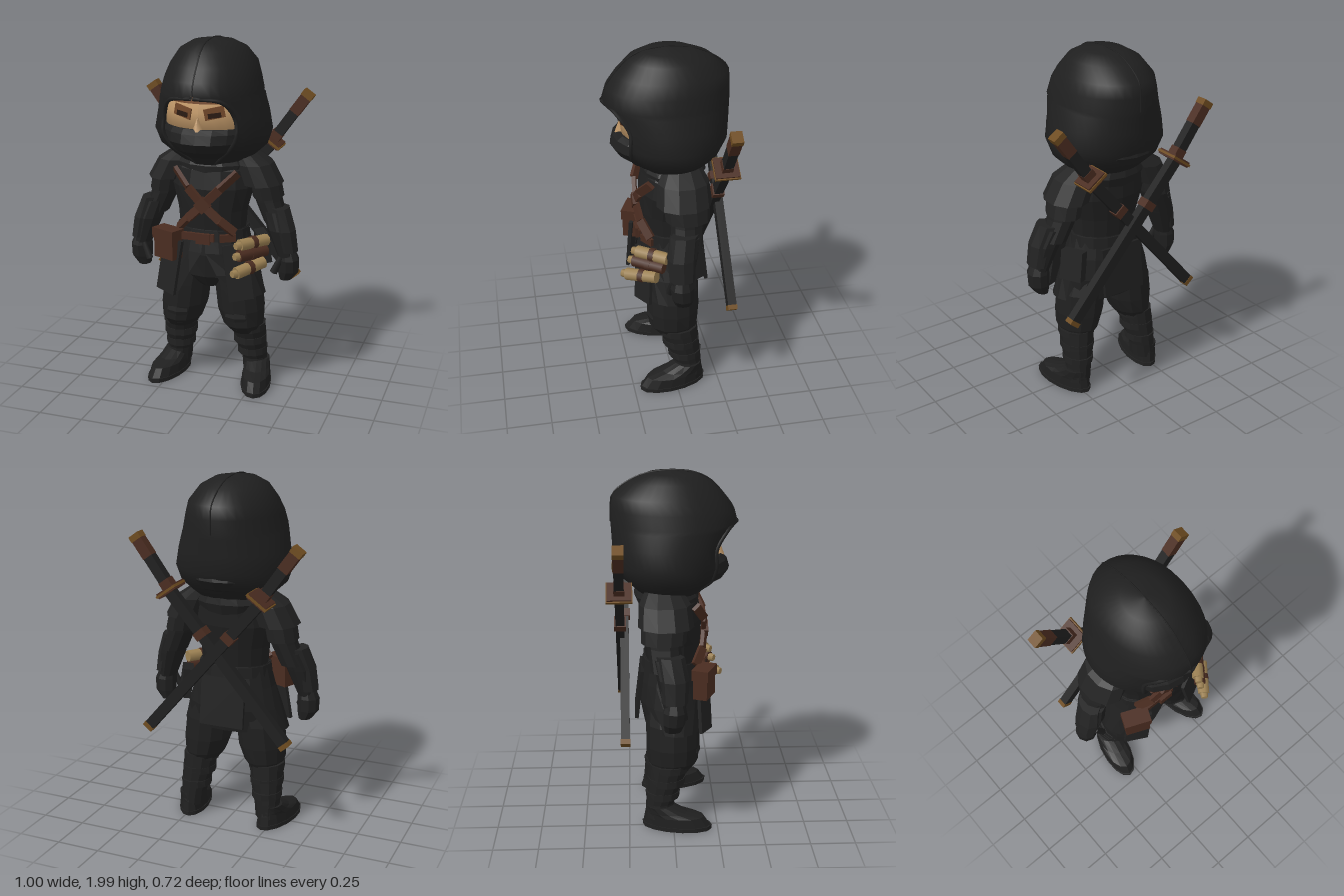
import * as THREE from 'three';

const paint = (name, color, side = THREE.FrontSide) => {
  const m = new THREE.MeshStandardMaterial({ color, side });
  m.name = name;
  return m;
};

export function createModel() {
  const root = new THREE.Group();
  root.name = 'hoodedWarrior';
  const cloth = paint('black cloth', 0x1f1f1f, THREE.DoubleSide);
  const armour = paint('charcoal armour', 0x222222);
  const leather = paint('brown leather', 0x4a2c20);
  const skin = paint('skin', 0xc39a6a);
  const shade = paint('eye socket brown', 0x74492b);
  const bone = paint('pale tan', 0x9c8153);
  const brass = paint('old brass', 0x6e4c20);
  const dark = paint('eye dark', 0x2a1a12);

  const add = (name, geo, mat) => {
    const mesh = new THREE.Mesh(geo, mat);
    mesh.name = name;
    root.add(mesh);
    return mesh;
  };
  const box = (name, size, at, mat, rot = [0, 0, 0]) => {
    const m = add(name, new THREE.BoxGeometry(...size), mat);
    m.position.set(...at);
    m.rotation.set(...rot);
    return m;
  };

  // Rings listed top to bottom: [y, centreX, centreZ, radiusX, radiusZ, frontGapAngle]
  function loft(rows, n = 12, smooth = false) {
    const open = rows.some(r => r[5]);
    const pos = [], idx = [];
    for (const [y, cx, cz, rx, rz, gap = 0] of rows) {
      for (let j = 0; j <= n; j++) {
        const t = gap + (j / n) * (Math.PI * 2 - 2 * gap);
        pos.push(cx + rx * Math.sin(t), y, cz + rz * Math.cos(t));
      }
    }
    const w = n + 1;
    for (let i = 0; i < rows.length - 1; i++) {
      for (let j = 0; j < n; j++) {
        const a = i * w + j, b = a + w;
        idx.push(a, b, b + 1, a, b + 1, a + 1);
      }
    }
    if (!open) {
      const last = (rows.length - 1) * w, c = pos.length / 3;
      for (const r of [rows[0], rows[rows.length - 1]]) pos.push(r[1], r[0], r[2]);
      for (let j = 0; j < n; j++) idx.push(c, j, j + 1, c + 1, last + j + 1, last + j);
    }
    let g = new THREE.BufferGeometry();
    g.setAttribute('position', new THREE.Float32BufferAttribute(pos, 3));
    g.setIndex(idx);
    if (!smooth) g = g.toNonIndexed();
    g.computeVertexNormals();
    // The three caps' centre corners are [y, x, z] rows, so they are already in place
    return g;
  }

  // Box or round bar between two points
  function bar(name, a, b, w, d, mat, round = 0) {
    const p = new THREE.Vector3(...a), q = new THREE.Vector3(...b);
    const len = p.distanceTo(q);
    const g = round ? new THREE.CylinderGeometry(w, d, len, round) : new THREE.BoxGeometry(w, len, d);
    const m = add(name, g, mat);
    m.position.copy(p).add(q).multiplyScalar(0.5);
    m.quaternion.setFromUnitVectors(new THREE.Vector3(0, 1, 0), q.sub(p).normalize());
  }

  // Hood with face opening
  const hoodRows = [
    [1.99, 0, 0, 0.001, 0.001, 0], [1.975, 0, 0, 0.11, 0.13, 0], [1.935, 0, -0.01, 0.18, 0.22, 0],
    [1.86, 0, -0.02, 0.232, 0.3, 0], [1.79, 0, 0, 0.256, 0.33, 0], [1.715, 0, 0.01, 0.275, 0.342, 0.02],
    [1.69, 0, 0.005, 0.282, 0.335, 0.55], [1.6, 0, -0.01, 0.305, 0.315, 0.7],
    [1.5, 0, -0.01, 0.325, 0.31, 0.68], [1.42, 0, -0.015, 0.3, 0.265, 0.55],
    [1.36, 0, -0.02, 0.235, 0.195, 0.4], [1.29, 0, -0.02, 0.13, 0.13, 0.1]
  ];
  add('hood', loft(hoodRows, 36, true), cloth);
  // Rim of the opening and crown seam
  for (const s of [-1, 1]) {
    const rim = hoodRows.slice(5).map(([y, , cz, rx, rz, a]) =>
      new THREE.Vector3(s * rx * Math.sin(a), y, cz + rz * Math.cos(a)));
    add('hoodRim', new THREE.TubeGeometry(new THREE.CatmullRomCurve3(rim), 24, 0.011, 6), cloth);
  }
  const seam = [-1, 1].flatMap(s => {
    const half = hoodRows.slice(0, 6).map(([y, , cz, , rz]) => new THREE.Vector3(0, y, cz + s * rz));
    return s < 0 ? half.reverse() : half;
  });
  add('hoodSeam', new THREE.TubeGeometry(new THREE.CatmullRomCurve3(seam), 30, 0.004, 5), cloth);

  // Face, mask and eyes
  add('face', loft([[1.74, 0, 0, 0.24, 0.24], [1.62, 0, 0, 0.26, 0.255], [1.5, 0, 0, 0.26, 0.26]], 28, true), skin);
  add('faceMask', loft([[1.535, 0, 0, 0.262, 0.27], [1.51, 0, 0, 0.27, 0.3], [1.46, 0, 0, 0.265, 0.315],
    [1.41, 0, 0, 0.23, 0.28], [1.36, 0, 0, 0.18, 0.19], [1.29, 0, 0, 0.12, 0.12]], 20), cloth);
  add('headband', loft([[1.715, 0, 0, 0.255, 0.26], [1.672, 0, 0, 0.262, 0.266]], 24), shade);
  const nose = add('nose', new THREE.ConeGeometry(0.03, 0.08, 4), skin);
  nose.position.set(0, 1.565, 0.258);
  for (const s of [-1, 1]) {
    box('eyeSocket', [0.11, 0.06, 0.008], [s * 0.088, 1.625, 0.243], shade, [0, s * 0.35, s * 0.2]);
    box('eye', [0.07, 0.026, 0.008], [s * 0.09, 1.613, 0.247], dark, [0, s * 0.35, s * 0.12]);
  }

  // Torso, collar and pelvis
  add('torso', loft([[1.36, 0, -0.04, 0.14, 0.14], [1.28, 0, -0.02, 0.22, 0.165], [1.18, 0, -0.01, 0.235, 0.175],
    [1.05, 0, 0, 0.2, 0.16], [0.92, 0, 0, 0.19, 0.145]], 16), cloth);
  add('collar', loft([[1.38, 0, -0.04, 0.17, 0.16], [1.31, 0, -0.03, 0.22, 0.18], [1.25, 0, -0.02, 0.19, 0.165]], 14), armour);
  add('pelvis', loft([[0.95, 0, 0, 0.19, 0.145], [0.8, 0, 0, 0.21, 0.16], [0.67, 0, 0, 0.2, 0.15], [0.6, 0, 0, 0.07, 0.1]], 14), cloth);
  add('tunicSkirt', loft([[0.95, 0, 0, 0.2, 0.155, 0.01], [0.82, 0, 0, 0.235, 0.18, 0.05],
    [0.7, 0, 0.005, 0.275, 0.19, 0.3], [0.57, 0, 0.02, 0.315, 0.18, 0.5]], 18), cloth);
  box('backFlap', [0.26, 0.28, 0.02], [0, 0.75, -0.185], cloth, [0.12, 0, 0]);
  for (const s of [-1, 1])
    box('skirtPanel', [0.14, 0.32, 0.02], [s * 0.2, 0.73, 0.172], armour, [-0.12, s * 0.45, s * 0.16]);

  // Belt and crossed chest straps
  add('belt', loft([[0.945, 0, 0, 0.207, 0.165], [0.885, 0, 0, 0.215, 0.172]], 16), cloth);
  box('beltFront', [0.2, 0.042, 0.02], [-0.04, 0.91, 0.165], leather);
  box('beltSide', [0.09, 0.042, 0.02], [0.13, 0.91, 0.14], leather, [0, 0.55, 0]);
  box('buckle', [0.08, 0.06, 0.02], [0, 0.905, 0.18], leather);
  for (const s of [-1, 1]) {
    const pts = [[s * 0.18, 1.28, 0.125], [s * 0.09, 1.19, 0.173], [0, 1.1, 0.185], [-s * 0.09, 1.015, 0.168], [-s * 0.165, 0.94, 0.125]];
    for (let i = 0; i < 4; i++) bar('chestStrap', pts[i], pts[i + 1], 0.048, 0.022, leather);
  }
  box('strapPlate', [0.07, 0.07, 0.025], [0, 1.1, 0.19], leather, [0, 0, Math.PI / 4]);

  // Hip pouches and rolled scrolls
  box('pouch', [0.14, 0.15, 0.08], [-0.21, 0.85, 0.17], leather, [0, -0.4, 0]);
  box('pouchFlap', [0.155, 0.06, 0.095], [-0.21, 0.915, 0.17], leather, [0, -0.4, 0]);
  box('hipBag', [0.06, 0.17, 0.13], [0.265, 0.81, -0.09], armour, [0, 0.5, 0.15]);
  for (const [y, z, tilt, mat] of [[0.9, 0, 0, bone], [0.845, 0.02, 0, leather], [0.775, 0.06, 0.015, bone]]) {
    bar('scroll', [0.33, y + tilt, 0.06 + z], [0.22, y - tilt, 0.21 + z], 0.034, 0.034, mat, 8);
    bar('scrollKnob', [0.225, y - tilt, 0.205 + z], [0.205, y - tilt, 0.235 + z], 0.02, 0.025, bone, 6);
    bar('scrollBand', [0.282, y, 0.122 + z], [0.265, y, 0.147 + z], 0.038, 0.038, leather, 8);
  }

  for (const s of [-1, 1]) {
    const part = (name, rows, mat, n) => add(name, loft(rows.map(([y, x, ...r]) => [y, s * x, ...r]), n), mat);
    // Layered shoulder guards
    part('shoulderGuard', [[1.37, 0.17, -0.05, 0.07, 0.1], [1.31, 0.225, -0.045, 0.105, 0.14], [1.2, 0.275, -0.04, 0.115, 0.15]], armour, 10);
    part('shoulderGuardLower', [[1.22, 0.285, -0.05, 0.085, 0.125], [1.12, 0.305, -0.055, 0.085, 0.12]], armour, 10);
    // Arm, bracer and gloved hand
    part('upperArm', [[1.25, 0.27, -0.06, 0.08, 0.09], [1.1, 0.31, -0.05, 0.075, 0.09], [0.98, 0.36, -0.04, 0.07, 0.085]], cloth, 10);
    part('forearm', [[1.05, 0.355, -0.03, 0.07, 0.085], [0.95, 0.39, -0.01, 0.075, 0.085], [0.8, 0.43, 0, 0.05, 0.06]], cloth, 10);
    part('bracer', [[1.07, 0.385, -0.02, 0.048, 0.075], [0.95, 0.417, 0, 0.062, 0.078], [0.83, 0.443, 0, 0.052, 0.07]], armour, 8);
    part('hand', [[0.83, 0.43, 0, 0.05, 0.05], [0.78, 0.44, 0, 0.062, 0.065], [0.71, 0.44, -0.005, 0.06, 0.06], [0.66, 0.425, -0.01, 0.035, 0.045]], cloth, 9);
    bar('thumb', [s * 0.41, 0.8, 0.045], [s * 0.37, 0.71, 0.055], 0.022, 0.016, cloth, 6);
    // Baggy trousers, knee pad, shin wraps and boot
    part('thigh', [[0.74, 0.12, 0, 0.115, 0.14], [0.6, 0.155, 0, 0.135, 0.15], [0.47, 0.17, 0, 0.135, 0.15],
      [0.38, 0.185, 0, 0.115, 0.14], [0.33, 0.195, -0.01, 0.085, 0.105]], cloth, 12);
    part('kneePad', [[0.52, 0.17, 0.08, 0.07, 0.06], [0.44, 0.175, 0.085, 0.085, 0.07], [0.36, 0.18, 0.07, 0.06, 0.05]], armour, 8);
    part('shin', [[0.37, 0.205, -0.02, 0.098, 0.115], [0.26, 0.215, -0.045, 0.092, 0.1], [0.14, 0.23, -0.075, 0.072, 0.08], [0.06, 0.24, -0.075, 0.075, 0.085]], cloth, 12);
    for (const [y, x, z, r] of [[0.37, 0.205, -0.02, 0.102], [0.29, 0.213, -0.038, 0.096], [0.21, 0.222, -0.06, 0.086]])
      part('shinWrap', [[y, x, z, r, r + 0.012], [y - 0.04, x, z, r, r + 0.008]], armour, 12);
    for (const [name, rows, mat] of [
      ['boot', [[0.13, 0, -0.09, 0.07, 0.075], [0.095, 0, -0.05, 0.075, 0.12], [0.075, 0, -0.005, 0.08, 0.17], [0.02, 0, 0.01, 0.085, 0.195]], cloth],
      ['sole', [[0.025, 0, 0.01, 0.088, 0.2], [0, 0, 0.01, 0.086, 0.198]], armour]]) {
      const m = add(name, loft(rows, 14), mat);
      m.position.set(s * 0.265, 0, 0.01);
      m.rotation.y = s * 0.2;
    }

    // Crossed swords in scabbards on the back
    const z = s > 0 ? -0.265 : -0.288;
    const at = (x, y) => [s * x, y, z];
    bar('scabbard', at(0.265, 1.37), at(-0.4, 0.59), 0.06, 0.048, cloth);
    bar('scabbardTip', at(-0.395, 0.596), at(-0.412, 0.576), 0.063, 0.052, brass);
    bar('scabbardBand', at(0.1, 1.176), at(0.07, 1.141), 0.07, 0.065, leather);
    bar('swordGuard', at(0.257, 1.375), at(0.275, 1.4), 0.12, 0.13, leather);
    bar('guardEdge', at(0.262, 1.382), at(0.27, 1.393), 0.134, 0.14, brass);
    bar('swordCollar', at(0.275, 1.4), at(0.3, 1.435), 0.066, 0.058, leather);
    bar('swordGrip', at(0.285, 1.41), at(0.4, 1.57), 0.058, 0.052, cloth);
    bar('gripWrap', at(0.39, 1.556), at(0.462, 1.655), 0.062, 0.056, leather);
    bar('pommel', at(0.455, 1.645), at(0.475, 1.673), 0.067, 0.06, brass);
  }
  return root;
}
